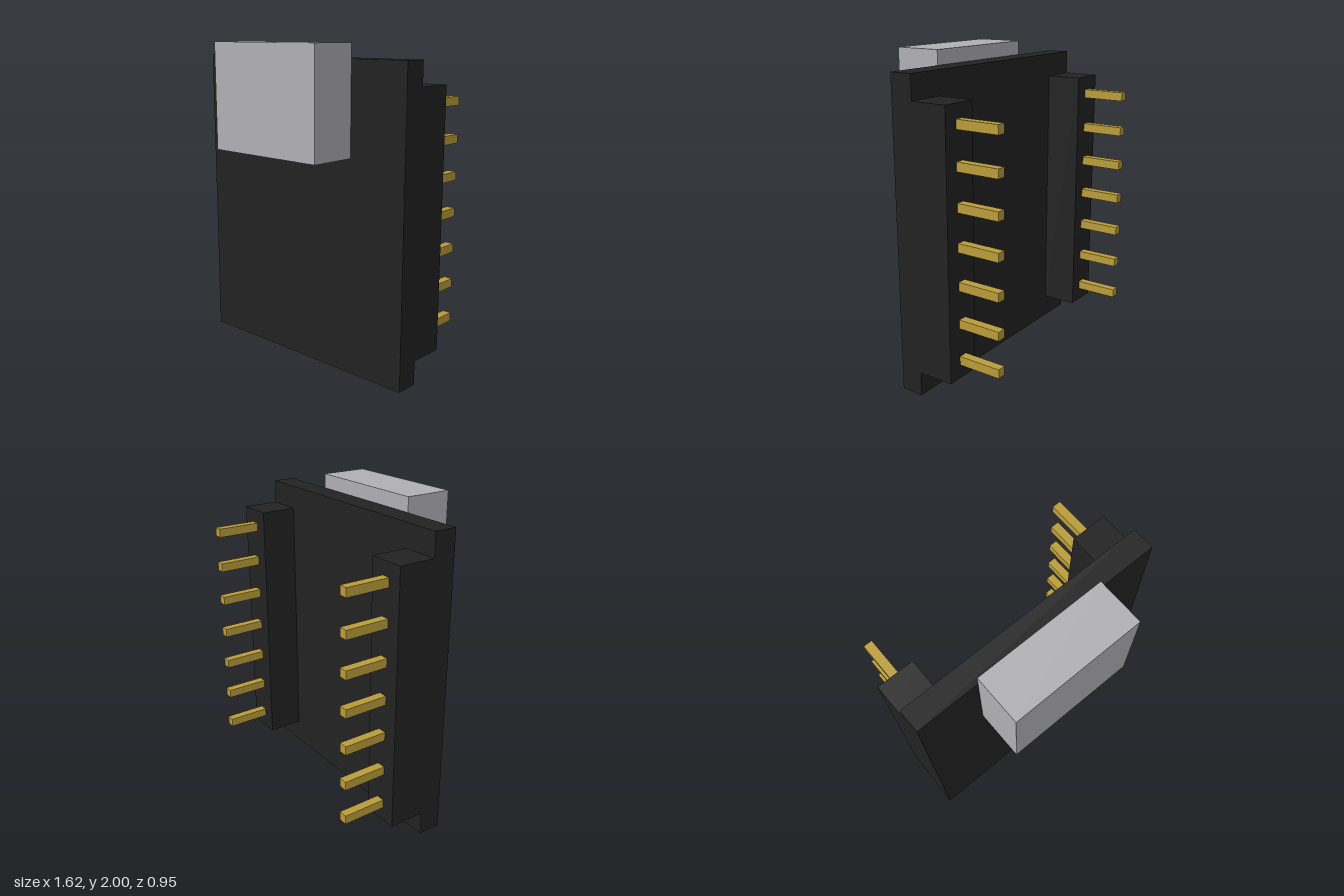
import * as THREE from 'three';

const material = (name, color) => {
  const m = new THREE.MeshStandardMaterial({ color });
  m.name = name;
  return m;
};

// Box given by its [min, max] extent on each axis
function box(name, mat, [x0, x1], [y0, y1], [z0, z1]) {
  const mesh = new THREE.Mesh(new THREE.BoxGeometry(x1 - x0, y1 - y0, z1 - z0), mat);
  mesh.position.set((x0 + x1) / 2, (y0 + y1) / 2, (z0 + z1) / 2);
  mesh.name = name;
  return mesh;
}

export function createModel() {
  const black = material('black plastic', 0x222222);
  const silver = material('silver metal', 0xb0afb4);
  const gold = material('gold metal', 0xba9c39);

  const model = new THREE.Group();
  model.name = 'circuitModule';

  // Circuit board and the port that overhangs its top edge
  model.add(box('board', black, [-0.81, 0.81], [0, 1.91], [0.03, 0.173]));
  model.add(box('connectorPort', silver, [-0.417, 0.417], [1.34, 2], [0.173, 0.475]));

  // Pin header along each side of the back
  const pinCount = 7, pitch = 0.2315, half = 0.0275;
  for (const side of [-1, 1]) {
    const header = new THREE.Group();
    header.name = side > 0 ? 'leftHeader' : 'rightHeader';
    const cx = side * 0.694;
    header.add(box('headerBlock', black, [cx - 0.116, cx + 0.116], [0.15, 1.764], [-0.2, 0.03]));
    for (let i = 0; i < pinCount; i++) {
      const y = 0.957 + (i - (pinCount - 1) / 2) * pitch;
      header.add(box('pin', gold, [cx - half, cx + half], [y - half, y + half], [-0.475, -0.2]));
    }
    model.add(header);
  }
  return model;
}
